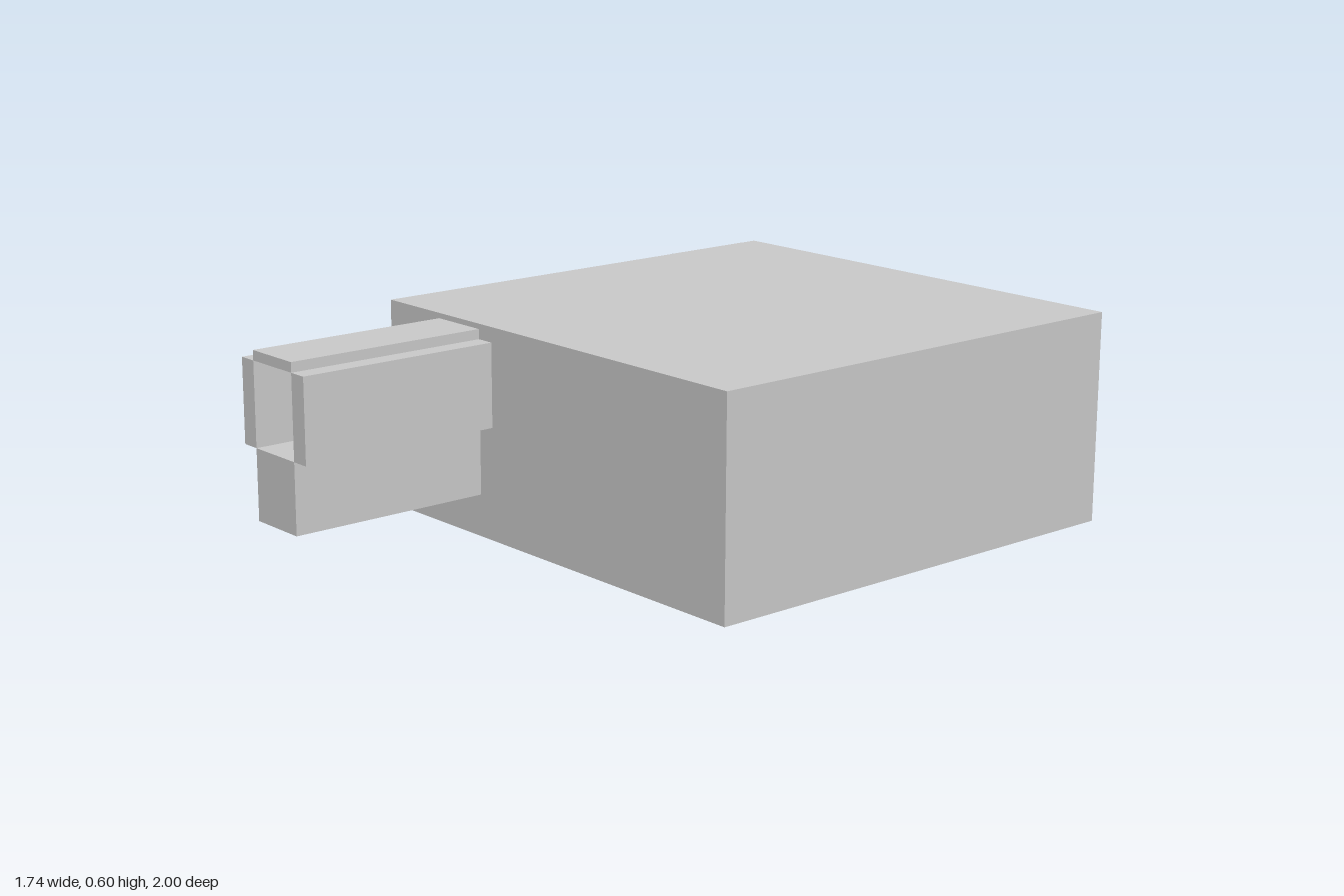
import * as THREE from 'three';

const material = new THREE.MeshStandardMaterial({ color: 0xcccccc, flatShading: true });

// Box given by its minimum and maximum corners
function block(name, [x0, y0, z0], [x1, y1, z1]) {
  const geometry = new THREE.BoxGeometry(x1 - x0, y1 - y0, z1 - z0);
  geometry.translate((x0 + x1) / 2, (y0 + y1) / 2, (z0 + z1) / 2);
  const mesh = new THREE.Mesh(geometry, material);
  mesh.name = name;
  return mesh;
}

// Long front channel: base rail, two side walls and a roof with a sloping underside
function createFrontChannel() {
  const group = new THREE.Group();
  group.name = 'frontChannel';
  const left = -0.305, right = -0.125, back = 0.4, front = 1;
  group.add(block('channelBase', [left, 0.12, back], [right, 0.32, front]));
  group.add(block('channelRightWall', [-0.36, 0.32, back], [left, 0.557, front]));
  group.add(block('channelLeftWall', [right, 0.32, back], [-0.07, 0.557, front]));

  // Roof profile is drawn in (-z, y) and extruded along x
  const profile = new THREE.Shape([
    new THREE.Vector2(-front, 0.557),
    new THREE.Vector2(-back, 0.525),
    new THREE.Vector2(-back, 0.585),
    new THREE.Vector2(-front, 0.585),
  ]);
  const geometry = new THREE.ExtrudeGeometry(profile, { depth: right - left, bevelEnabled: false });
  geometry.rotateY(Math.PI / 2).translate(left, 0, 0);
  const roof = new THREE.Mesh(geometry, material);
  roof.name = 'channelRoof';
  group.add(roof);
  return group;
}

// Short hollow side port with a raised collar against the body
function createSidePort() {
  const group = new THREE.Group();
  group.name = 'sidePort';
  const outer = -0.87, inner = -0.535, back = -1, front = -0.71, wall = 0.058;
  const bottom = 0.06, top = 0.41;
  group.add(block('portFloor', [outer, bottom, back], [inner, bottom + wall, front]));
  group.add(block('portRoof', [outer, top - wall, back], [inner, top, front]));
  group.add(block('portBackWall', [outer, bottom + wall, back], [inner, top - wall, back + wall]));
  group.add(block('portFrontWall', [outer, bottom + wall, front - wall], [inner, top - wall, front]));
  group.add(block('portCollar', [-0.595, top, back], [inner, 0.585, front]));
  return group;
}

export function createModel() {
  const model = new THREE.Group();
  model.name = 'blockWithPorts';
  model.add(block('mainBody', [-0.535, 0, -1], [0.865, 0.6, 0.4]));
  model.add(createFrontChannel(), createSidePort());
  return model;
}
